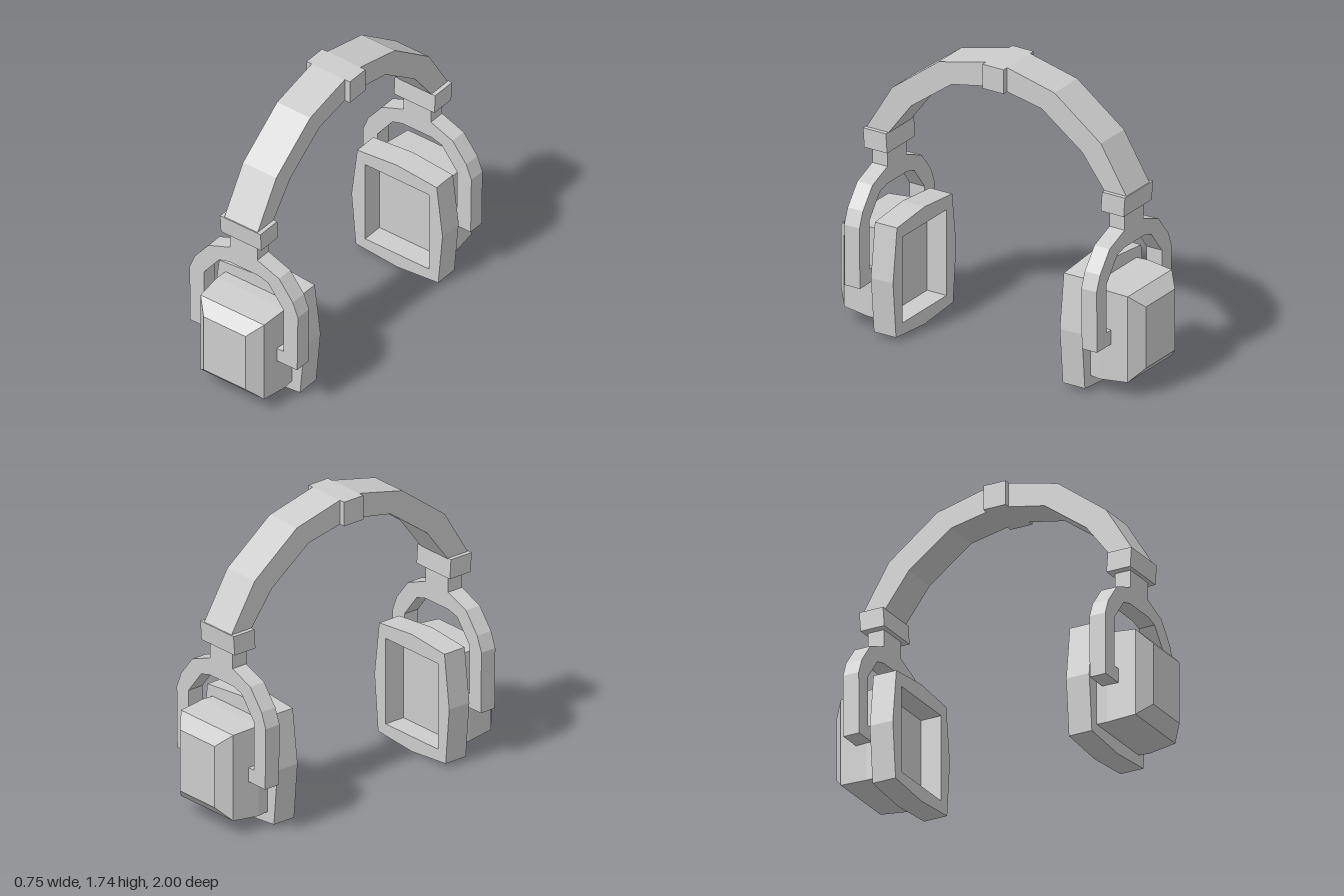
import * as THREE from 'three';

const grey = new THREE.MeshStandardMaterial({ color: 0xcccccc, flatShading: true });
grey.name = 'light grey';

function part(name, geometry) {
  const mesh = new THREE.Mesh(geometry, grey);
  mesh.name = name;
  return mesh;
}

const toVectors = (points) => points.map(([x, y]) => new THREE.Vector2(x, y));

// Outline given for the +x half, from bottom to top, mirrored to the -x half.
const mirrored = (half) =>
  toVectors([...half, ...half.filter(([x]) => x !== 0).reverse().map(([x, y]) => [-x, y])]);

function extrude(points, depth, z, hole) {
  const shape = new THREE.Shape(points);
  if (hole) shape.holes.push(new THREE.Path(hole));
  return new THREE.ExtrudeGeometry(shape, { depth, bevelEnabled: false }).translate(0, 0, z);
}

// Closed body through rectangular sections [z, halfWidth, bottom, top], back to front.
function loftRectangles(sections) {
  const rings = sections.map(([z, w, b, t]) => [[-w, b, z], [w, b, z], [w, t, z], [-w, t, z]]);
  const positions = [];
  const quad = (a, b, c, d) => [a, b, c, a, c, d].forEach((p) => positions.push(...p));
  for (let i = 0; i < rings.length - 1; i++) {
    for (let j = 0; j < 4; j++) {
      const k = (j + 1) % 4;
      quad(rings[i][j], rings[i][k], rings[i + 1][k], rings[i + 1][j]);
    }
  }
  quad(...[...rings[0]].reverse());
  quad(...rings[rings.length - 1]);
  const geometry = new THREE.BufferGeometry();
  geometry.setAttribute('position', new THREE.Float32BufferAttribute(positions, 3));
  geometry.computeVertexNormals();
  return geometry;
}

// One side of the headset, built at +z
function createEarpiece(name) {
  const group = new THREE.Group();
  group.name = name;

  // Ear pad with a rectangular opening
  const padOutline = mirrored([[0, 0], [0.285, 0.025], [0.315, 0.36], [0.275, 0.68], [0, 0.705]]);
  const opening = toVectors([[-0.22, 0.09], [-0.22, 0.605], [0.22, 0.605], [0.22, 0.09]]);
  group.add(part('earPad', extrude(padOutline, 0.145, 0.547, opening)));

  // Bevelled cup, whose inner face closes the pad opening
  group.add(part('earCup', loftRectangles([
    [0.675, 0.23, 0.085, 0.62],
    [0.76, 0.235, 0.08, 0.622],
    [0.93, 0.22, 0.095, 0.61],
    [1.0, 0.145, 0.17, 0.538],
  ])));

  // Fork holding the cup, with feet turned inward and a stem on top
  const right = [
    [0.2, 0.39], [0.2, 0.305], [0.37, 0.305], [0.375, 0.67], [0.34, 0.76],
    [0.245, 0.88], [0.095, 0.938], [0.095, 1.06],
  ];
  const inner = [[0.1, 0.835], [0.17, 0.815], [0.275, 0.68], [0.275, 0.39]];
  const flip = (list) => [...list].reverse().map(([x, y]) => [-x, y]);
  const yokeOutline = toVectors([...right, ...flip(right), ...flip(inner), ...inner]);
  group.add(part('yoke', extrude(yokeOutline, 0.1, 0.728)));

  // Collar at the end of the band
  const collar = new THREE.BoxGeometry(0.28, 0.115, 0.15).translate(0, 1.0975, 0.78);
  const position = collar.getAttribute('position');
  for (let i = 0; i < position.count; i++) {
    const lean = position.getY(i) > 1.1 ? 0.004 : -0.004;
    position.setZ(i, position.getZ(i) + lean);
  }
  collar.computeVertexNormals();
  group.add(part('collar', collar));

  // Half of the arched band, drawn in the zy plane and extruded across x
  const bandOutline = toVectors([
    [0.855, 1.15], [0.685, 1.43], [0.38, 1.66], [0.07, 1.735],
    [0.07, 1.59], [0.295, 1.545], [0.56, 1.35], [0.71, 1.15],
  ]);
  group.add(part('headband', extrude(bandOutline, 0.23, -0.115).rotateY(-Math.PI / 2)));
  return group;
}

export function createModel() {
  const model = new THREE.Group();
  model.name = 'headphones';

  const front = createEarpiece('frontEarpiece');
  const back = createEarpiece('backEarpiece');
  back.rotation.y = Math.PI;
  model.add(front, back);

  // Clip joining the two band halves
  model.add(part('bandClip', new THREE.BoxGeometry(0.3, 0.145, 0.14).translate(0, 1.6625, 0)));
  return model;
}
